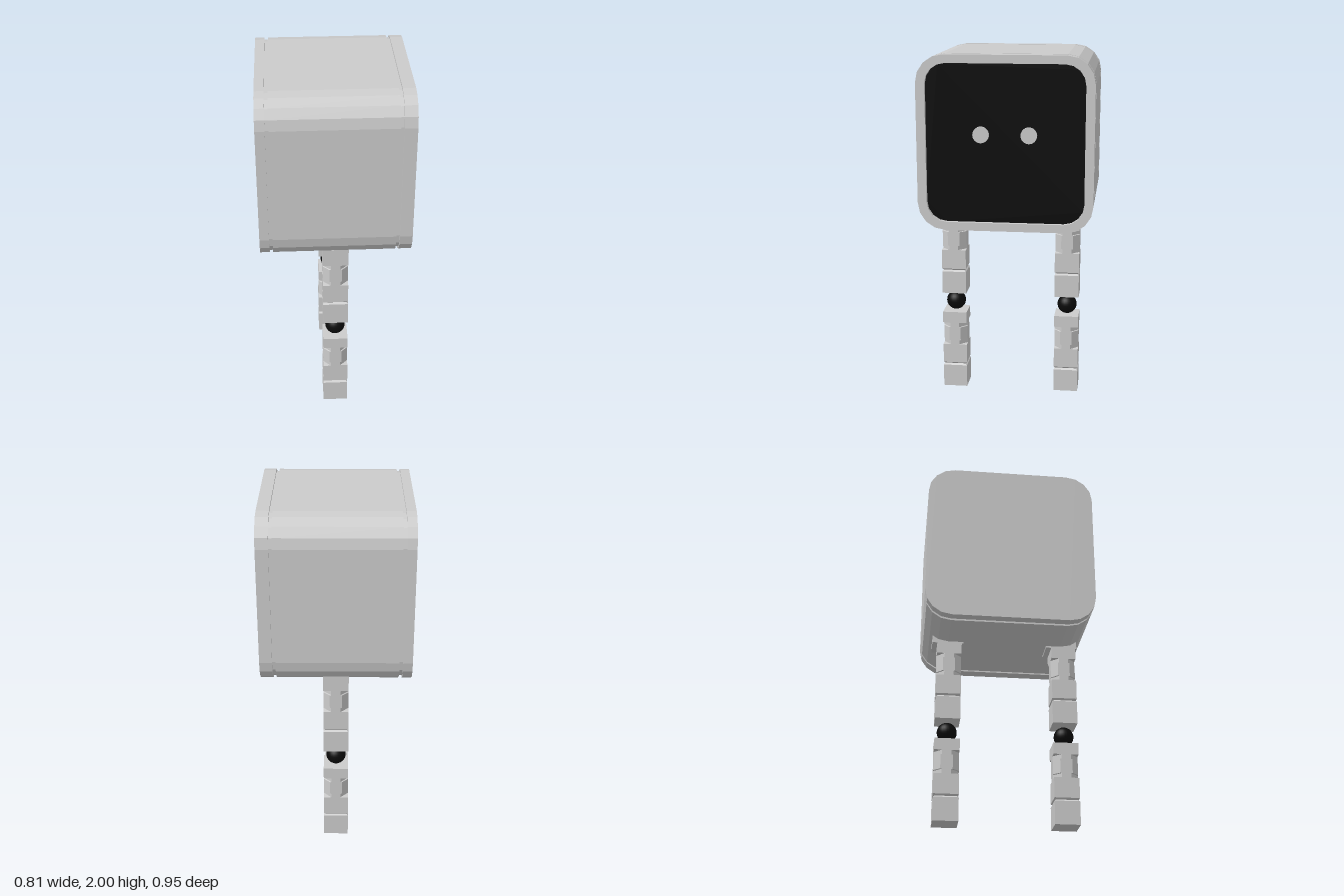
import * as THREE from 'three';

const grey = new THREE.MeshStandardMaterial({ color: 0xcccccc, flatShading: true });
const smoothGrey = new THREE.MeshStandardMaterial({ color: 0xcccccc });
const black = new THREE.MeshStandardMaterial({ color: 0x0a0a0a });

function add(parent, name, geometry, material, x = 0, y = 0, z = 0) {
  const mesh = new THREE.Mesh(geometry, material);
  mesh.name = name;
  mesh.position.set(x, y, z);
  parent.add(mesh);
  return mesh;
}

// Rounded rectangle centred on the origin
function roundedRect(w, h, r, Type = THREE.Shape) {
  const s = new Type(), a = w / 2 - r, b = h / 2 - r;
  s.absarc(a, b, r, 0, Math.PI / 2);
  s.absarc(-a, b, r, Math.PI / 2, Math.PI);
  s.absarc(-a, -b, r, Math.PI, Math.PI * 1.5);
  s.absarc(a, -b, r, Math.PI * 1.5, Math.PI * 2);
  s.closePath();
  return s;
}

// Slab of the given outline running from x0 to x1
function slab(shape, x0, x1) {
  return new THREE.ExtrudeGeometry(shape, { depth: x1 - x0, bevelEnabled: false, curveSegments: 2 })
    .rotateY(Math.PI / 2).translate(x0, 0, 0);
}

// Square column with its corners cut: each section is [y, half width, corner cut]
function column(sections) {
  const rings = sections.map(([y, h, c]) => {
    const k = h - c;
    return [[h, k], [k, h], [-k, h], [-h, k], [-h, -k], [-k, -h], [k, -h], [h, -k]]
      .map(([x, z]) => [x, y, z]);
  });
  const pos = [];
  const tri = (...p) => p.forEach((v) => pos.push(...v));
  for (let i = 0; i < rings.length - 1; i++) {
    for (let j = 0; j < 8; j++) {
      const n = (j + 1) % 8, a = rings[i], b = rings[i + 1];
      tri(a[j], b[j], b[n]);
      tri(a[j], b[n], a[n]);
    }
  }
  const top = rings[rings.length - 1];
  for (let j = 1; j < 7; j++) {
    tri(rings[0][0], rings[0][j], rings[0][j + 1]);
    tri(top[0], top[j + 1], top[j]);
  }
  const g = new THREE.BufferGeometry();
  g.setAttribute('position', new THREE.Float32BufferAttribute(pos, 3));
  g.computeVertexNormals();
  return g;
}

function createHead() {
  const head = new THREE.Group();
  head.name = 'head';
  head.position.y = 1.5275;
  const outer = () => roundedRect(0.95, 0.945, 0.15);

  // Shell in three bands, with a slimmer core showing in the two seams
  add(head, 'backCover', slab(outer(), -0.408, -0.357), grey);
  add(head, 'shell', slab(outer(), -0.338, 0.32), grey);
  add(head, 'seamCore', slab(roundedRect(0.926, 0.921, 0.138), -0.37, 0.345), grey);
  const frame = outer();
  frame.holes.push(roundedRect(0.852, 0.855, 0.11, THREE.Path));
  add(head, 'faceFrame', slab(frame, 0.338, 0.406), grey);

  // Recessed face screen with two round eyes
  add(head, 'screen', slab(roundedRect(0.856, 0.859, 0.112), 0.34, 0.384), black);
  const eye = new THREE.CylinderGeometry(0.044, 0.044, 0.025, 32).rotateZ(Math.PI / 2);
  add(head, 'leftEye', eye, smoothGrey, 0.385, 0.05, -0.127);
  add(head, 'rightEye', eye, smoothGrey, 0.385, 0.05, 0.13);
  return head;
}

function createLeg(name, z, hipZ) {
  const leg = new THREE.Group();
  leg.name = name;

  // Seam near the bottom, notched corners higher up
  const segment = column([
    [0, 0.07, 0], [0.131, 0.07, 0], [0.14, 0.06, 0], [0.149, 0.07, 0],
    [0.262, 0.07, 0], [0.264, 0.07, 0.044], [0.288, 0.07, 0.044], [0.29, 0.07, 0.036],
    [0.37, 0.07, 0.036], [0.372, 0.07, 0.044], [0.397, 0.07, 0.044], [0.399, 0.07, 0],
    [0.465, 0.07, 0],
  ]);
  add(leg, 'shin', segment, grey, 0, 0, z);
  add(leg, 'thigh', segment, grey, 0, 0.583, z);
  add(leg, 'knee', new THREE.SphereGeometry(0.056, 24, 16), black, 0, 0.522, z);
  add(leg, 'hipPlate', new THREE.BoxGeometry(0.14, 0.045, 0.178), grey, 0, 1.0675, hipZ);
  return leg;
}

export function createModel() {
  const model = new THREE.Group();
  model.name = 'boxHeadRobot';
  model.add(createHead());
  model.add(createLeg('frontLeg', 0.342, 0.33));
  model.add(createLeg('backLeg', -0.317, -0.326));
  return model;
}
